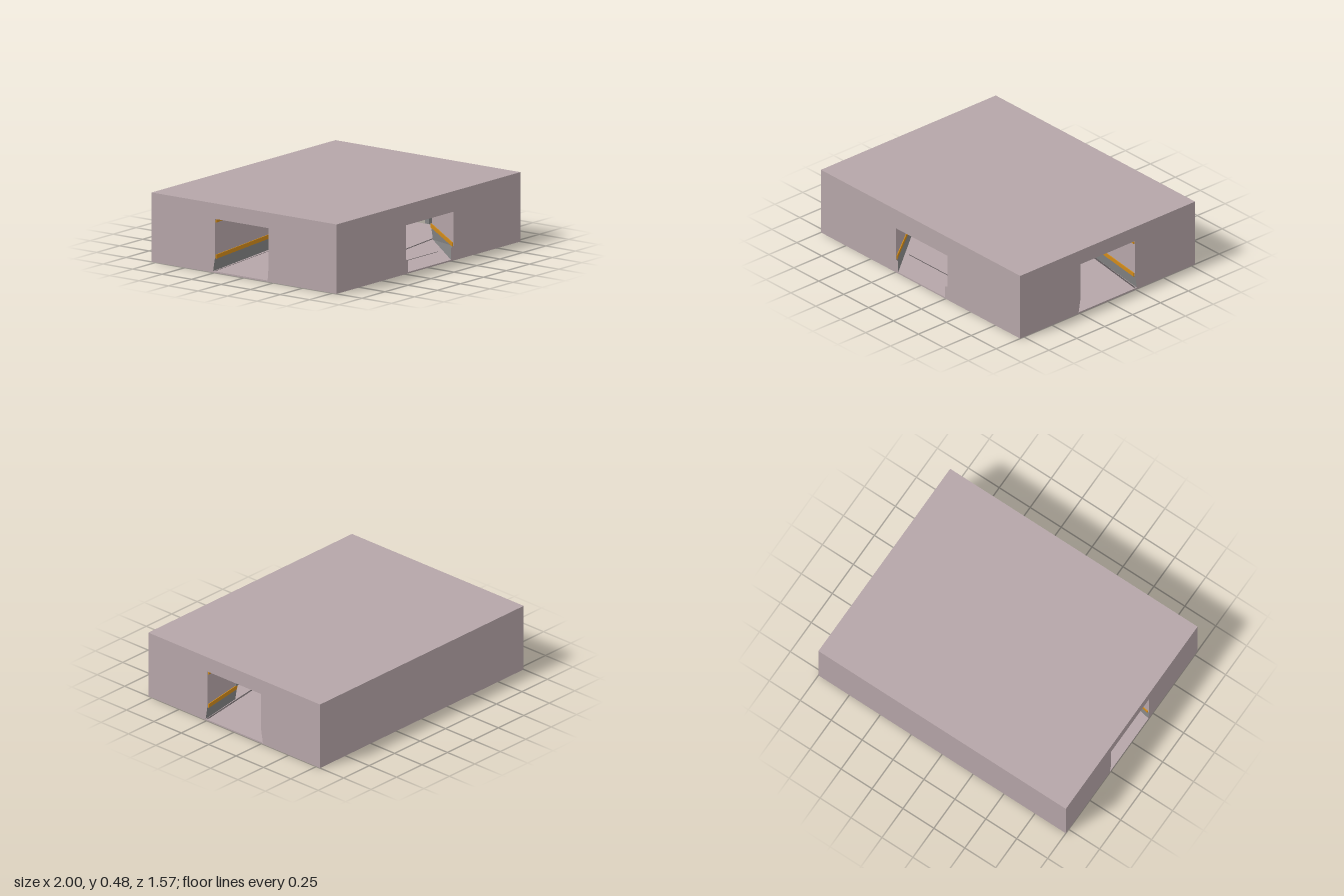
import * as THREE from 'three';

const W = 1, D = 0.784, H = 0.476;          // half width, half depth, height
const FLOOR = 0.01, DADO = 0.1, CEIL = 0.37;

const material = (color) => new THREE.MeshStandardMaterial({ color, side: THREE.DoubleSide, flatShading: true });

export function createModel() {
  const group = new THREE.Group();
  const shell = material(0xb5a5a8), grey = material(0x858585), orange = material(0xd08a1a), dark = material(0x5c5658);

  const add = (name, geometry, mat) => {
    const mesh = new THREE.Mesh(geometry, mat);
    mesh.name = name;
    group.add(mesh);
    return mesh;
  };
  const box = (name, w, h, d, x, y, z, mat) => {
    const mesh = add(name, new THREE.BoxGeometry(w, h, d), mat);
    mesh.position.set(x, y, z);
    return mesh;
  };

  // Flat outer wall, optionally with a doorway cut out of it
  const outerWall = (name, half, doorway, position, turn) => {
    const shape = new THREE.Shape([[-half, 0], [half, 0], [half, H], [-half, H]].map((p) => new THREE.Vector2(...p)));
    if (doorway) shape.holes.push(new THREE.Path(doorway.map((p) => new THREE.Vector2(...p))));
    const mesh = add(name, new THREE.ShapeGeometry(shape), shell);
    mesh.position.set(...position);
    mesh.rotation.y = turn;
  };
  outerWall('frontWall', W, [[-0.225, FLOOR], [-0.225, 0.09], [-0.245, 0.1], [-0.245, 0.335],
    [0.27, 0.335], [0.27, 0.1], [0.245, 0.09], [0.245, FLOOR]], [0, 0, D], 0);
  outerWall('backWall', W, null, [0, 0, -D], Math.PI);
  outerWall('leftWall', D, [[-0.26, FLOOR], [-0.245, DADO], [-0.245, CEIL],
    [0.247, CEIL], [0.247, DADO], [0.262, FLOOR]], [W, 0, 0], Math.PI / 2);
  outerWall('rightWall', D, [[-0.262, FLOOR], [-0.247, DADO], [-0.247, CEIL],
    [0.207, CEIL], [0.207, DADO], [0.2, FLOOR]], [-W, 0, 0], -Math.PI / 2);

  // Roof, ceiling and floor slab
  for (const [name, y] of [['roof', H], ['ceiling', CEIL]]) {
    const plane = add(name, new THREE.PlaneGeometry(2 * W, 2 * D), shell);
    plane.rotation.x = -Math.PI / 2;
    plane.position.y = y;
  }
  box('floor', 2 * W, FLOOR - 0.002, 2 * D, 0, FLOOR / 2 + 0.001, 0, shell);

  // Strip of wall between two heights; each corner is [x, z, foot x, foot z]
  const wallStrip = (name, corners, y0, y1, mat, sloped) => {
    const pos = [], index = [];
    corners.forEach(([x, z, fx, fz], i) => {
      pos.push(sloped ? fx : x, y0, sloped ? fz : z, x, y1, z);
      if (i) {
        const a = 2 * i - 2;
        index.push(a, a + 2, a + 1, a + 1, a + 2, a + 3);
      }
    });
    const geometry = new THREE.BufferGeometry();
    geometry.setAttribute('position', new THREE.Float32BufferAttribute(pos, 3));
    geometry.setIndex(index);
    geometry.computeVertexNormals();
    add(name, geometry, mat);
  };

  // Thin bar laid between two plan points
  const bar = (name, [x0, z0], [x1, z1], y, height, thick, mat) => {
    const length = Math.hypot(x1 - x0, z1 - z0) - 0.02;
    const mesh = box(name, length, height, thick, (x0 + x1) / 2, y, (z0 + z1) / 2, mat);
    mesh.rotation.y = -Math.atan2(z1 - z0, x1 - x0);
  };

  // Passage walls: a bent far wall and two walls that flare from the front doorway
  const passages = {
    far: [[W, -0.247, W, -0.262], [0.03, -0.39, 0.03, -0.405], [-W, -0.247, -W, -0.262]],
    leftCorner: [[0.27, D, 0.245, D], [0.65, 0.3, 0.65, 0.315], [W, 0.245, W, 0.26]],
    rightCorner: [[-0.245, D, -0.225, D], [-0.63, 0.265, -0.63, 0.27], [-W, 0.207, -W, 0.2]],
  };
  for (const [name, corners] of Object.entries(passages)) {
    wallStrip(name + 'Dado', corners, FLOOR, DADO, grey, true);
    wallStrip(name + 'Wall', corners, DADO, CEIL, shell, false);
    for (let i = 1; i < corners.length; i++) {
      bar(name + 'Rail', corners[i - 1], corners[i], 0.109, 0.028, 0.012, orange);
      bar(name + 'TopRail', corners[i - 1], corners[i], 0.352, 0.018, 0.012, orange);
    }
    // Pilaster at the bend
    const [x, z] = corners[1];
    box(name + 'Pilaster', 0.07, CEIL - 0.125, 0.03, x - 0.01, (CEIL + 0.125) / 2, z, grey);
  }

  // Floor seams along the passage
  for (const s of [1, -1]) {
    const bend = [s > 0 ? 0.03 : 0.12, s * 0.39];
    bar('floorSeam', [W, s * 0.25], bend, 0.0055, 0.011, 0.012, dark);
    bar('floorSeam', bend, [-W, s * 0.25], 0.0055, 0.011, 0.004, dark);
  }
  bar('floorSeam', [-0.37, 0.565], [0.39, 0.565], 0.0065, 0.009, 0.006, dark);

  return group;
}
